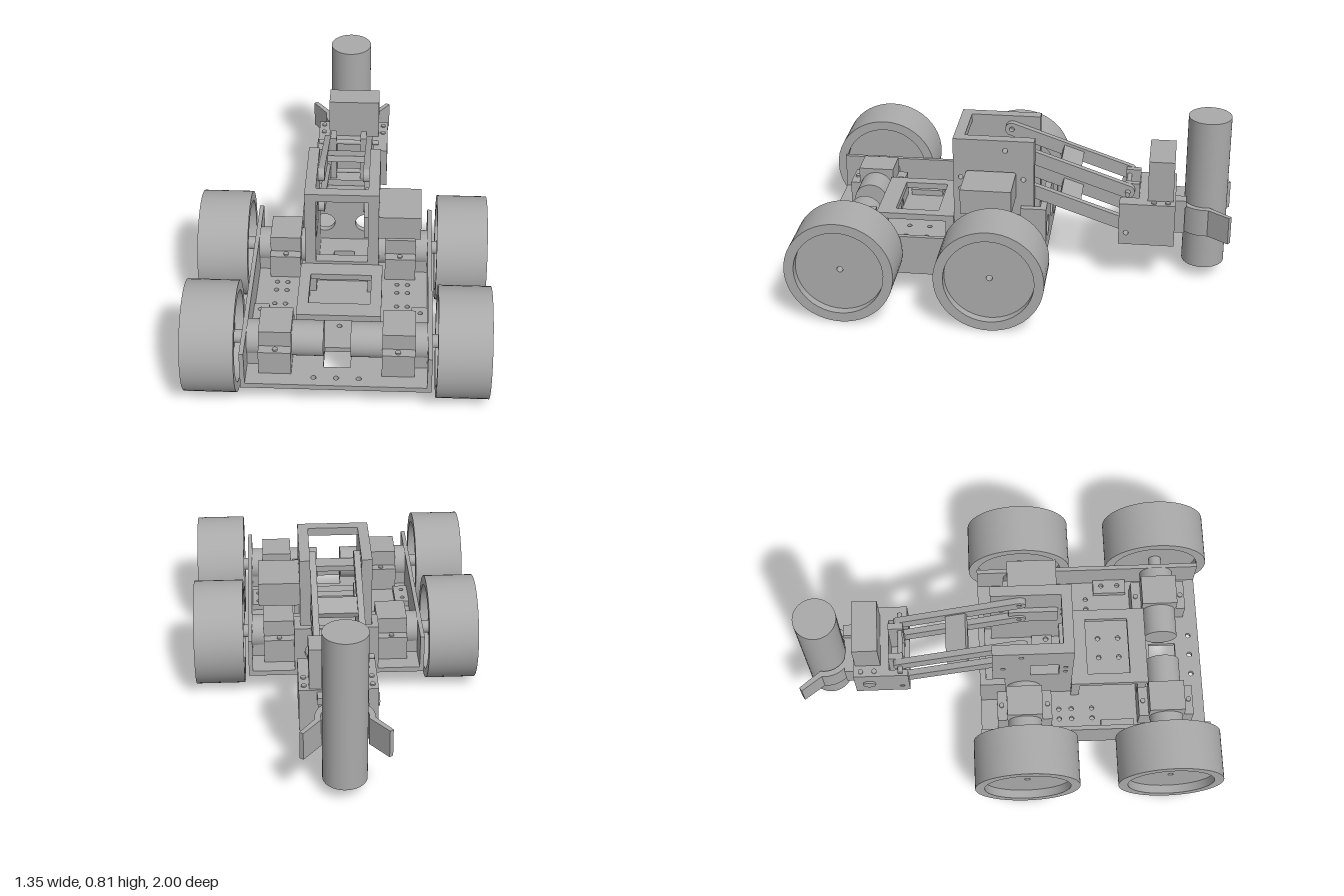
import * as THREE from 'three';
import { toCreasedNormals } from 'three/addons/utils/BufferGeometryUtils.js';

const grey = new THREE.MeshStandardMaterial({ color: 0xaaaaaa });
grey.name = 'plain grey';

export function createModel() {
  const root = new THREE.Group();
  root.name = 'armRover';

  const add = (name, geo) => {
    const m = new THREE.Mesh(geo, grey);
    m.name = name;
    root.add(m);
    return m;
  };
  // Box from its limits on each axis
  const box = (name, x0, x1, y0, y1, z0, z1) => {
    const g = new THREE.BoxGeometry(Math.abs(x1 - x0), y1 - y0, z1 - z0);
    g.translate((x0 + x1) / 2, (y0 + y1) / 2, (z0 + z1) / 2);
    return add(name, g);
  };
  // Cylinder lying along x
  const rod = (name, x0, x1, y, z, r) => {
    const g = new THREE.CylinderGeometry(r, r, Math.abs(x1 - x0), 40);
    g.rotateZ(Math.PI / 2).translate((x0 + x1) / 2, y, z);
    return add(name, g);
  };
  const rect = (a0, a1, b0, b1, C = THREE.Shape) => new C([[a0, b0], [a1, b0], [a1, b1], [a0, b1]]
    .map(p => new THREE.Vector2(...p)));
  const disc = (a, b, r, C = THREE.Path) => new C().absarc(a, b, r, 0, Math.PI * 2);
  const extrude = (shape, holes, depth) => {
    shape.holes.push(...holes);
    const g = new THREE.ExtrudeGeometry(shape, { depth, bevelEnabled: false, curveSegments: 24 });
    return toCreasedNormals(g, 0.5);
  };
  // Horizontal plate: shape is (x, z), top at y
  const slab = (name, shape, holes, y, t) =>
    add(name, extrude(shape, holes, t).rotateX(Math.PI / 2).translate(0, y, 0));
  // Upright plate: shape is (z, y), spans x0 to x1
  const sidePlate = (name, shape, holes, x0, x1) =>
    add(name, extrude(shape, holes, x1 - x0).rotateY(-Math.PI / 2).translate(x1, 0, 0));
  // Upright plate across the body: shape is (x, y), spans z0 to z1
  const crossPlate = (name, shape, holes, z0, z1) =>
    add(name, extrude(shape, holes, z1 - z0).translate(0, 0, z0));

  // Chassis floor with screw holes and two slots
  const holes = [rect(-0.06, 0.06, 0.7, 0.83, THREE.Path), rect(-0.05, 0.05, -0.01, 0.04, THREE.Path)];
  for (const x of [-0.1, 0, 0.1]) for (const z of [0.45, 0.55, 0.9]) holes.push(disc(x, z, 0.012));
  for (const x of [-0.05, 0, 0.05]) holes.push(disc(x, 0.15, 0.01));
  for (const x of [-0.31, -0.26, 0.26, 0.31]) for (const z of [0.24, 0.3, 0.4]) holes.push(disc(x, z, 0.011));
  slab('chassisFloor', rect(-0.42, 0.42, -0.14, 0.95), holes, 0.15, 0.025);
  box('bumperBlock', -0.16, 0.16, 0.09, 0.125, -0.13, -0.06);

  for (const s of [-1, 1]) {
    // Chassis side wall
    const lo = s > 0 ? 0.4 : -0.42;
    sidePlate('sideWall', rect(-0.14, 0.95, 0.15, 0.318), [], lo, lo + 0.02);
    // Side bracket between the axles
    slab('sideBracket', rect(s * 0.33, s * 0.4, 0.44, 0.6),
      [disc(s * 0.37, 0.48, 0.011), disc(s * 0.37, 0.56, 0.011)], 0.18, 0.03);

    for (const z of [0.07, 0.75]) {
      // Wheel: thick tyre ring with a recessed hub disc
      const x0 = s > 0 ? 0.44 : -0.675;
      sidePlate('tyre', new THREE.Shape().absarc(z, 0.25, 0.25, 0, Math.PI * 2), [disc(z, 0.25, 0.205)], x0, x0 + 0.235);
      sidePlate('wheelHub', new THREE.Shape().absarc(z, 0.25, 0.207, 0, Math.PI * 2),
        [disc(z, 0.25, 0.014)], x0 + 0.04, x0 + 0.195);
      rod('axle', s * 0.4, s * 0.482, 0.25, z, 0.03);

      // Drive motor with gearbox and mounting bracket
      rod('motorCan', s * (z > 0.5 ? 0.06 : 0.165), s * 0.2, 0.25, z, 0.08);
      box('gearbox', s * 0.2, s * 0.345, 0.15, 0.35, z - 0.085, z + 0.085);
      rod('gearboxEnd', s * 0.345, s * 0.4, 0.25, z, 0.08);
      box('gearboxFoot', s * 0.345, s * 0.4, 0.15, 0.26, z - 0.07, z + 0.07);
      for (const d of [-1, 1]) {
        box('motorBracket', s * 0.2, s * 0.345, 0.15, 0.27, z + d * 0.108 - 0.023, z + d * 0.108 + 0.023);
        const bolt = new THREE.CylinderGeometry(0.012, 0.012, 0.008, 16);
        add('bracketBolt', bolt.translate(s * 0.27, 0.274, z + d * 0.11));
      }
    }
  }

  // Raised deck frame on four legs
  slab('deckFrame', rect(-0.19, 0.19, 0.3, 0.67), [rect(-0.14, 0.14, 0.38, 0.585, THREE.Path)], 0.315, 0.03);
  for (const s of [-1, 1]) for (const z of [0.32, 0.64])
    box('deckLeg', s * 0.15, s * 0.19, 0.15, 0.285, z - 0.02, z + 0.02);

  // Rear end plate with a round opening
  crossPlate('rearPlate', rect(-0.2, 0.2, 0.15, 0.38),
    [disc(-0.1, 0.25, 0.05), disc(0.1, 0.25, 0.05)], -0.14, -0.11);
  for (const s of [-1, 1]) box('rearPlateGusset', s * 0.17, s * 0.2, 0.15, 0.38, -0.11, -0.02);
  slab('towerFoot', rect(-0.125, 0.125, 0.12, 0.22),
    [disc(-0.1, 0.19, 0.012), disc(0.1, 0.19, 0.012)], 0.17, 0.02);

  // Arm tower: two walls with a servo window each, joined by a front frame
  for (const s of [-1, 1]) {
    const x0 = s > 0 ? 0.12 : -0.17;
    sidePlate('towerWall', rect(-0.08, 0.3, 0.15, 0.71),
      [rect(s > 0 ? 0.01 : 0.1, 0.235, 0.42, 0.55, THREE.Path), disc(0.055, 0.66, 0.012),
        disc(-0.03, 0.515, 0.012), disc(0.265, 0.515, 0.011), disc(0.265, 0.455, 0.011)], x0, x0 + 0.05);
  }
  box('towerTopBar', -0.12, 0.12, 0.67, 0.71, 0.25, 0.3);
  box('towerLowerBar', -0.12, 0.12, 0.29, 0.33, 0.25, 0.3);
  box('armServo', 0.1, 0.365, 0.425, 0.545, 0.005, 0.24);

  // Parallel arm links, each a pair of bars with a cross brace
  const tilt = Math.atan2(0.197, 0.57);
  for (const [name, dy] of [['upperArm', 0], ['lowerArm', -0.175]]) {
    const za = 0.055, ya = 0.652 + dy, zb = -0.515, yb = 0.455 + dy;
    for (const x0 of [-0.12, 0.09]) {
      const bar = new THREE.Shape();
      bar.absarc(za, ya, 0.032, tilt - Math.PI / 2, tilt + Math.PI / 2);
      bar.absarc(zb, yb, 0.032, tilt + Math.PI / 2, tilt + Math.PI * 1.5);
      sidePlate(name + 'Bar', bar, [disc(za, ya, 0.012), disc(zb, yb, 0.012)], x0, x0 + 0.03);
    }
    const brace = add(name + 'Brace', new THREE.BoxGeometry(0.18, 0.03, 0.1));
    brace.position.set(0, (ya + yb) / 2, (za + zb) / 2 - 0.012);
    brace.rotation.x = -tilt;
    rod(name + 'Pin', -0.15, 0.15, yb, zb, 0.012);
  }

  // Gripper body, side cheeks and servo
  box('gripperBody', -0.155, 0.195, 0.22, 0.43, -0.74, -0.57);
  box('gripperFloor', -0.12, 0.12, 0.22, 0.24, -0.57, -0.48);
  for (const [x0, x1] of [[-0.155, -0.125], [0.125, 0.195]])
    sidePlate('gripperCheek', rect(-0.57, -0.48, 0.22, 0.43), [disc(-0.515, 0.28, 0.012)], x0, x1);
  for (const x0 of [-0.09, 0.06])
    sidePlate('gripperEar', rect(-0.57, -0.5, 0.24, 0.485), [], x0, x0 + 0.03);
  box('gripperServo', -0.1, 0.15, 0.43, 0.63, -0.73, -0.61);
  for (const x of [-0.13, 0.172]) for (const z of [-0.705, -0.64])
    add('gripperBolt', new THREE.CylinderGeometry(0.012, 0.012, 0.008, 16).translate(x, 0.433, z));
  rod('gripperBoss', -0.165, -0.155, 0.33, -0.67, 0.03);
  box('palm', -0.11, 0.11, 0.25, 0.385, -0.785, -0.74);
  box('fingerPivot', 0.06, 0.115, 0.385, 0.42, -0.79, -0.74);

  // Curved fingers with flared tips
  const finger = new THREE.Shape();
  finger.absarc(0, -0.88, 0.132, 1.4, -0.1, true);
  finger.lineTo(0.2, -0.988);
  finger.lineTo(0.184, -1);
  finger.lineTo(0.104, -0.9);
  finger.absarc(0, -0.88, 0.105, -0.2, 1.4, false);
  for (const s of [-1, 1]) {
    const pts = finger.getPoints(20).map(p => new THREE.Vector2(s * p.x, p.y));
    slab('gripperFinger', new THREE.Shape(pts), [], 0.385, 0.135);
  }

  // Held cylinder
  add('heldCylinder', new THREE.CylinderGeometry(0.1, 0.1, 0.745, 48).translate(0, 0.4375, -0.88));

  return root;
}
